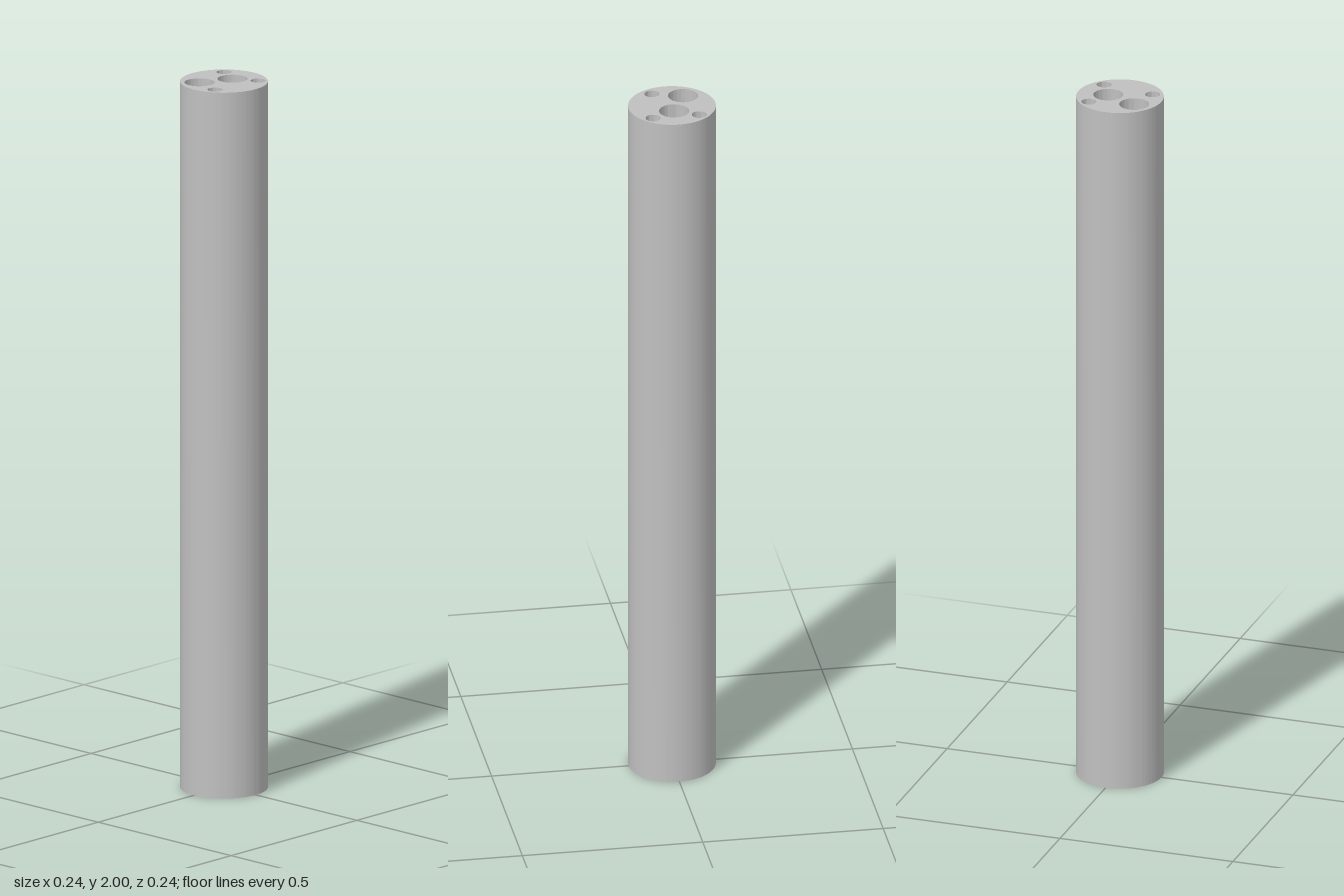
import * as THREE from 'three';
import { toCreasedNormals } from 'three/addons/utils/BufferGeometryUtils.js';

const LENGTH = 2;
const RADIUS = 0.12;

// Through-channels: x, z, radius
const CHANNELS = [
  [0, -0.034, 0.041],
  [-0.04, 0.055, 0.041],
  [-0.064, -0.068, 0.0205],
  [0.064, -0.068, 0.0205],
  [0.042, 0.08, 0.0205],
];

export function createModel() {
  const group = new THREE.Group();
  group.name = 'multiChannelRod';

  const grey = new THREE.MeshStandardMaterial({ color: 0xc0c0c0 });
  grey.name = 'grey';

  // Round section with its channels; shape y becomes -z once stood upright
  const section = new THREE.Shape().absarc(0, 0, RADIUS, 0, Math.PI * 2, false);
  for (const [x, z, r] of CHANNELS) {
    section.holes.push(new THREE.Path().absarc(x, -z, r, 0, Math.PI * 2, true));
  }

  // Rod body: smooth walls, sharp rims
  const extruded = new THREE.ExtrudeGeometry(section, {
    depth: LENGTH,
    bevelEnabled: false,
    curveSegments: 64,
  });
  extruded.rotateX(-Math.PI / 2);
  const rod = new THREE.Mesh(toCreasedNormals(extruded, Math.PI / 5), grey);
  rod.name = 'rod';
  group.add(rod);

  return group;
}
